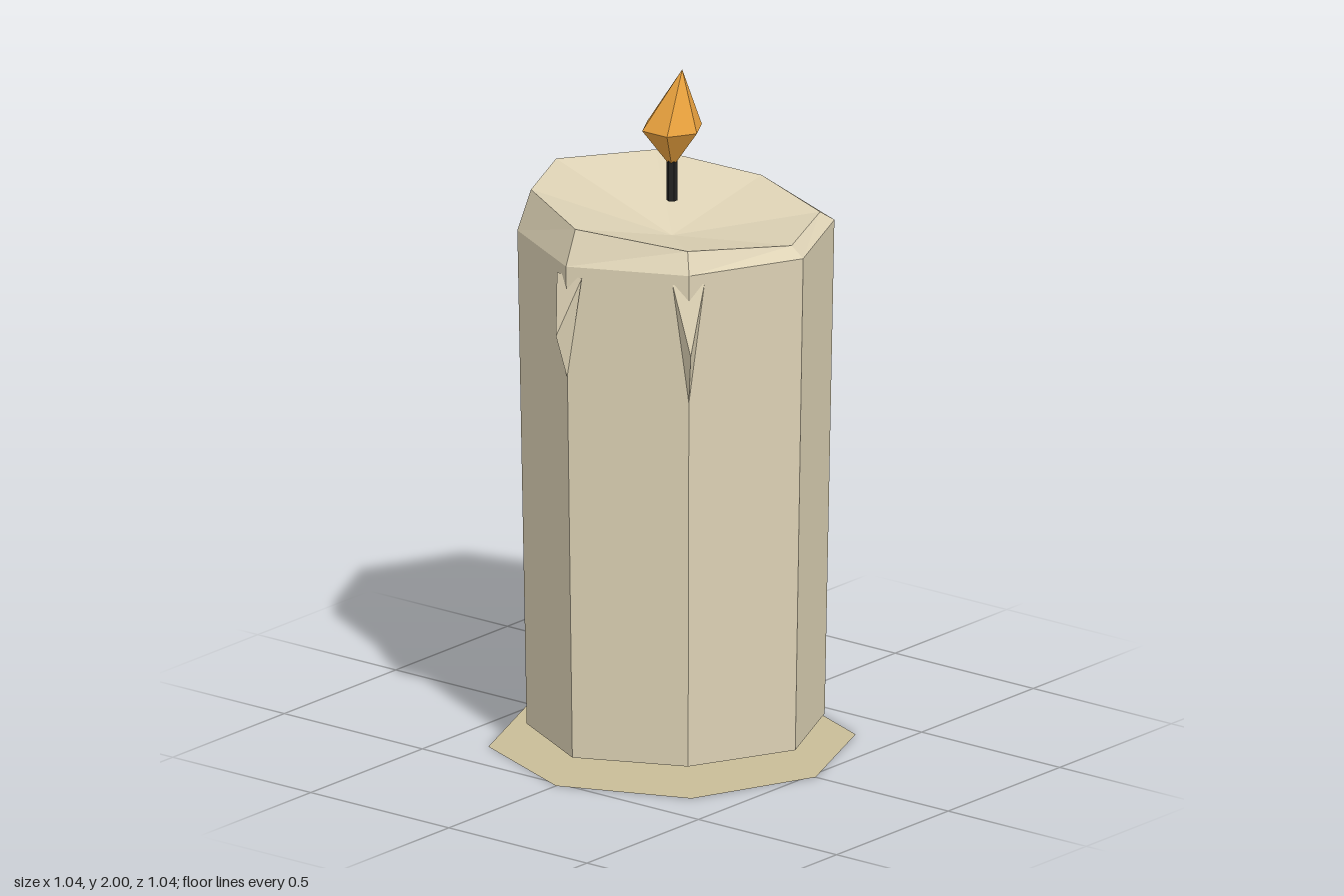
import * as THREE from 'three';

const SIDES = 8;
const material = (color, side = THREE.FrontSide) =>
  new THREE.MeshStandardMaterial({ color, flatShading: true, side });

const wax = material(0xddd2b5);
const pooledWax = material(0xc9bd98, THREE.DoubleSide);
const charred = material(0x222222);
const fire = material(0xf0a640);

// Stack of rings joined by quads; a one-point ring closes an end.
function loft(rings) {
  const pos = [];
  const tri = (a, b, c) => pos.push(...a, ...b, ...c);
  for (let r = 0; r < rings.length - 1; r++) {
    const lo = rings[r], hi = rings[r + 1];
    const n = Math.max(lo.length, hi.length);
    for (let i = 0; i < n; i++) {
      const j = (i + 1) % n;
      if (lo.length > 1) tri(lo[i], lo[j], hi[j % hi.length]);
      if (hi.length > 1) tri(lo[i % lo.length], hi[j], hi[i]);
    }
  }
  const geo = new THREE.BufferGeometry();
  geo.setAttribute('position', new THREE.Float32BufferAttribute(pos, 3));
  geo.computeVertexNormals();
  return geo;
}

// Ring running counter-clockwise as seen from above.
const ring = (n, radius, height) => Array.from({ length: n }, (_, i) => {
  const a = (i / n) * Math.PI * 2;
  return [radius(i) * Math.cos(a), height(i), -radius(i) * Math.sin(a)];
});

// Wax run: a pointed wedge lying on a corner of the candle, built facing +z.
function dripGeometry(rTop, rBulge, rTip, yBulge, yTip) {
  const a = [-0.045, 1.5, rTop], b = [0.045, 1.5, rTop];
  const c = [0, yBulge, rBulge], d = [0, yTip, rTip];
  const geo = new THREE.BufferGeometry();
  geo.setAttribute('position', new THREE.Float32BufferAttribute(
    [a, c, b, a, d, c, b, c, d, a, b, d].flat(), 3));
  geo.computeVertexNormals();
  return geo;
}

export function createModel() {
  const group = new THREE.Group();
  const add = (name, geo, mat) => {
    const mesh = new THREE.Mesh(geo, mat);
    mesh.name = name;
    group.add(mesh);
    return mesh;
  };

  // Flat puddle of wax under the candle
  const pool = add('waxPool', new THREE.CircleGeometry(0.52, SIDES), pooledWax);
  pool.rotation.x = -Math.PI / 2;

  // Uneven candle body with a slanted rim and a sunken top
  const radii = [0.475, 0.46, 0.44, 0.48, 0.46, 0.438, 0.475, 0.457];
  const rim = [1.56, 1.555, 1.575, 1.61, 1.64, 1.65, 1.63, 1.59];
  add('candleBody', loft([
    [[0, 0.065, 0]],
    ring(SIDES, i => radii[i] * 0.94, () => 0.065),
    ring(SIDES, i => radii[i], () => 1.53),
    ring(SIDES, i => radii[i] * 0.912, i => rim[i]),
    [[0, 1.5, 0]],
  ]), wax);

  // Drips on two corners
  add('frontDrip', dripGeometry(0.46, 0.52, 0.47, 1.335, 1.2), wax);
  add('cornerDrip', dripGeometry(0.442, 0.5, 0.45, 1.305, 1.15), wax).rotation.y = Math.PI / 4;

  // Wick
  add('wick', new THREE.CylinderGeometry(0.016, 0.016, 0.14, 6), charred).position.y = 1.675;

  // Flame, its tip leaning to one side
  add('flame', loft([
    [[0, 1.7, 0]],
    ring(6, () => 0.09, () => 1.82),
    [[0.037, 2, 0]],
  ]), fire);

  return group;
}
